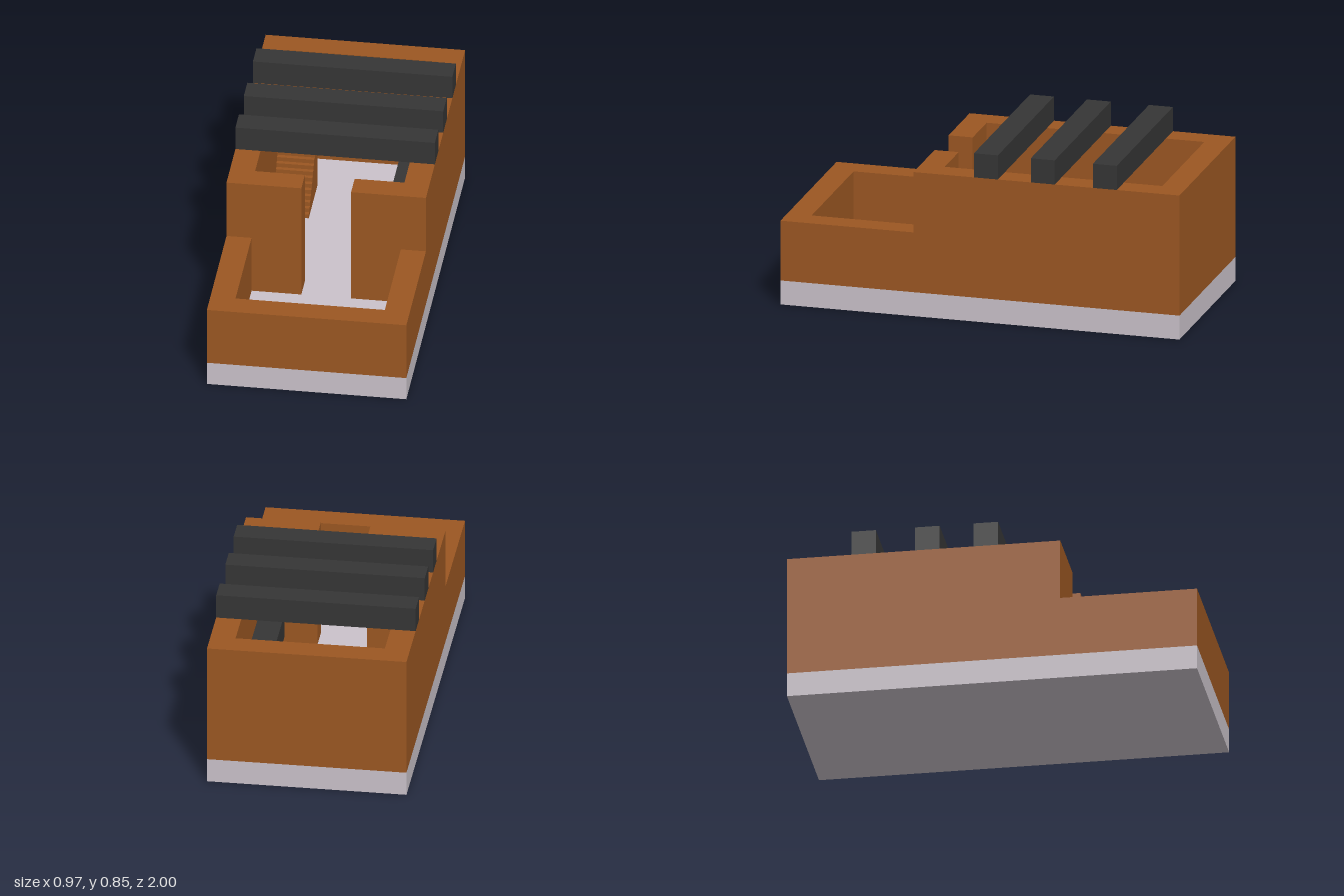
import * as THREE from 'three';

const material = (name, color) => Object.assign(new THREE.MeshStandardMaterial({ color }), { name });

export function createModel() {
  const brown = material('brownWall', 0x9b5722);
  const dark = material('darkTimber', 0x353535);
  const pale = material('paleFoundation', 0xcac2ca);
  const house = new THREE.Group();
  house.name = 'house';

  // Box given by its min and max on each axis
  const box = (name, mat, [x0, x1], [y0, y1], [z0, z1], parent = house) => {
    const mesh = new THREE.Mesh(new THREE.BoxGeometry(x1 - x0, y1 - y0, z1 - z0), mat);
    mesh.position.set((x0 + x1) / 2, (y0 + y1) / 2, (z0 + z1) / 2);
    mesh.name = name;
    parent.add(mesh);
  };

  // Side profile in (z, y), extruded along x from x0 to x1
  const profile = (name, mat, points, x0, x1) => {
    const shape = new THREE.Shape(points.map(([z, y]) => new THREE.Vector2(-z, y)));
    const geo = new THREE.ExtrudeGeometry(shape, { depth: x1 - x0, bevelEnabled: false });
    geo.rotateY(Math.PI / 2);
    geo.translate(x0, 0, 0);
    const mesh = new THREE.Mesh(geo, mat);
    mesh.name = name;
    house.add(mesh);
  };

  const W = 0.485, IN = 0.363, FLOOR = 0.121, LOW = 0.423, HIGH = 0.728;

  box('foundation', pale, [-W, W], [0, FLOOR], [-1, 1]);

  // Outer walls, low around the front yard
  const sideWall = [[1, FLOOR], [1, LOW], [0.333, LOW], [0.333, HIGH], [-1, HIGH], [-1, FLOOR]];
  profile('rightWall', brown, sideWall, -W, -IN);
  profile('leftWall', brown, sideWall, IN, W);
  box('frontWall', brown, [-IN, IN], [FLOOR, LOW], [0.879, 1]);
  box('backWall', brown, [-IN, IN], [FLOOR, HIGH], [-1, -0.879]);

  // Partition with a central doorway
  box('rightPartition', brown, [-IN, -0.121], [FLOOR, HIGH], [0.212, 0.333]);
  box('leftPartition', brown, [0.121, IN], [FLOOR, HIGH], [0.212, 0.333]);

  // Roof beams
  for (const z of [-0.03, -0.315, -0.626]) {
    box('roofBeam', dark, [-W, W], [HIGH, 0.85], [z - 0.06, z + 0.06]);
  }

  // Upper platform and the walkway along the left wall
  box('platform', dark, [-IN, IN], [0.303, LOW + 0.002], [-0.879, -0.636]);
  box('walkway', dark, [0.242, IN], [0.303, LOW + 0.002], [-0.636, -0.06]);

  // Staircase up to the platform
  const steps = 14, zFront = -0.345, run = (0.636 - 0.345) / steps, rise = (LOW - FLOOR) / steps;
  const stairs = [[-0.636, FLOOR], [zFront, FLOOR]];
  for (let i = 0; i < steps; i++) {
    const y = FLOOR + rise * (i + 1);
    stairs.push([zFront - run * i, y], [zFront - run * (i + 1), y]);
  }
  profile('staircase', brown, stairs, -IN, -0.182);

  return house;
}
